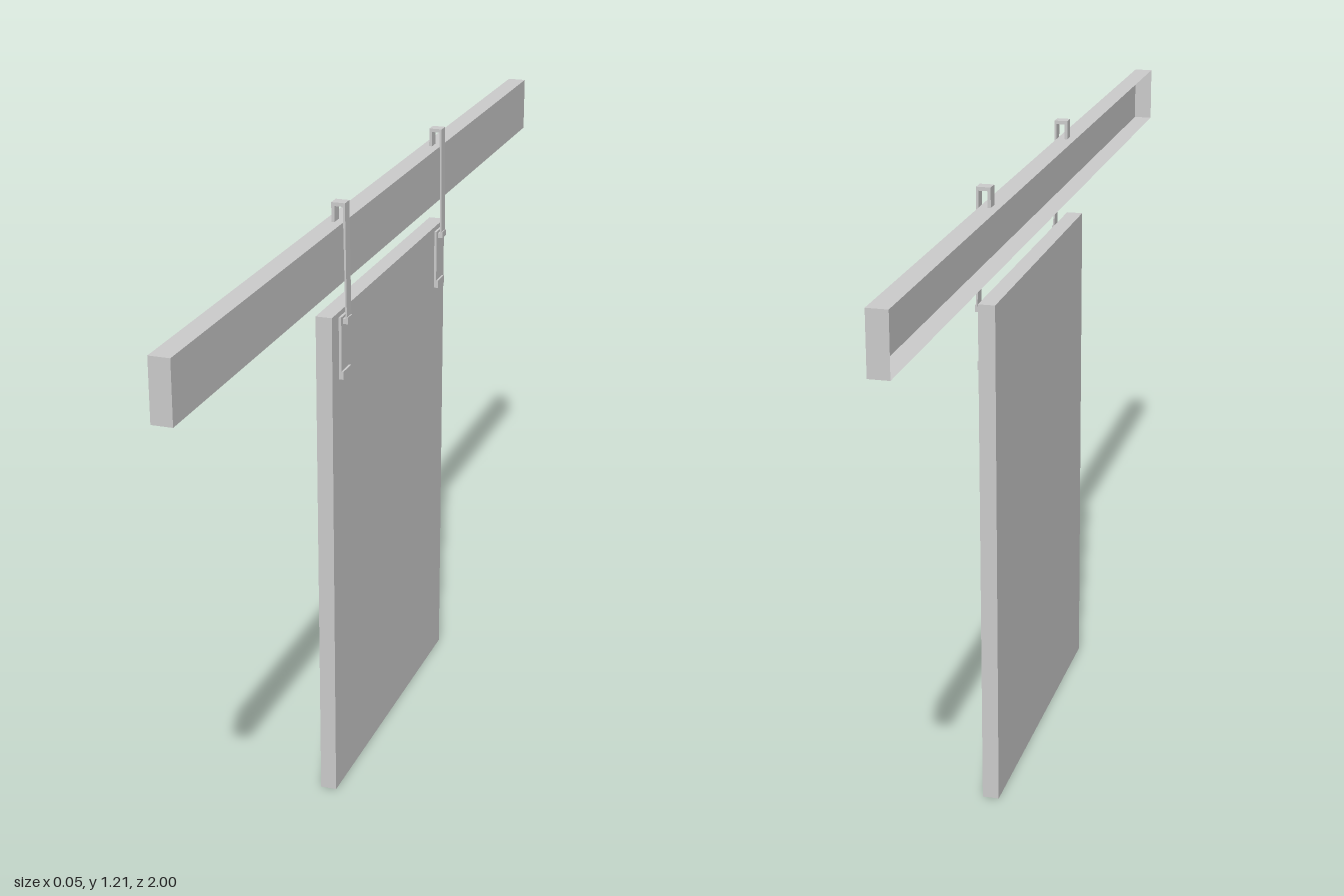
import * as THREE from 'three';

const material = new THREE.MeshStandardMaterial({ color: 0xcccccc, flatShading: true });
const sheet = new THREE.MeshStandardMaterial({ color: 0xcccccc, flatShading: true, side: THREE.DoubleSide });

// Box given by its lower and upper corners
function box(name, [x0, y0, z0], [x1, y1, z1]) {
  const mesh = new THREE.Mesh(new THREE.BoxGeometry(x1 - x0, y1 - y0, z1 - z0), material);
  mesh.position.set((x0 + x1) / 2, (y0 + y1) / 2, (z0 + z1) / 2);
  mesh.name = name;
  return mesh;
}

// Flat x-y profile swept along z, centred on z = 0
function strip(name, points, width) {
  const shape = new THREE.Shape(points.map(([x, y]) => new THREE.Vector2(x, y)));
  const geometry = new THREE.ExtrudeGeometry(shape, { depth: width, bevelEnabled: false });
  geometry.translate(0, 0, -width / 2);
  const mesh = new THREE.Mesh(geometry, material);
  mesh.name = name;
  return mesh;
}

// Thin-walled rail cover: a box without its -x face
function createRail() {
  const width = 0.038, height = 0.113, length = 2;
  const rail = new THREE.Group();
  rail.name = 'rail';
  const wall = (name, w, h, position, rotation) => {
    const mesh = new THREE.Mesh(new THREE.PlaneGeometry(w, h), sheet);
    mesh.name = name;
    mesh.position.set(...position);
    mesh.rotation.set(...rotation);
    rail.add(mesh);
  };
  const q = Math.PI / 2;
  wall('railFace', length, height, [width / 2, 0, 0], [0, q, 0]);
  wall('railTop', width, length, [0, height / 2, 0], [-q, 0, 0]);
  wall('railBottom', width, length, [0, -height / 2, 0], [q, 0, 0]);
  wall('railFrontEnd', width, height, [0, 0, length / 2], [0, 0, 0]);
  wall('railBackEnd', width, height, [0, 0, -length / 2], [0, 2 * q, 0]);
  rail.position.set(-0.005, 1.1125, 0);
  return rail;
}

// Hook over the rail, slanted strap and plate fixed to the door
function createHanger(z) {
  const hanger = new THREE.Group();
  hanger.name = 'hanger';
  hanger.add(
    strip('hookStrap', [
      [-0.008, 1.168], [-0.002, 1.168], [-0.002, 1.199], [0.0142, 1.199],
      [0.018, 0.985], [0.012, 0.985], [0.012, 0.975], [0.023, 0.975],
      [0.023, 0.988], [0.021, 0.988], [0.0185, 1.206], [-0.008, 1.206],
    ], 0.024),
    strip('doorPlate', [
      [0.008, 0.868], [0.017, 0.868], [0.017, 0.884], [0.013, 0.884],
      [0.013, 0.99], [0.008, 0.99],
    ], 0.042),
  );
  hanger.position.z = z;
  return hanger;
}

export function createModel() {
  const model = new THREE.Group();
  model.name = 'slidingDoor';
  model.add(box('doorPanel', [-0.024, 0, -0.4], [0.008, 1, 0.285]), createRail());
  for (const z of [0.228, -0.354]) model.add(createHanger(z));
  return model;
}
